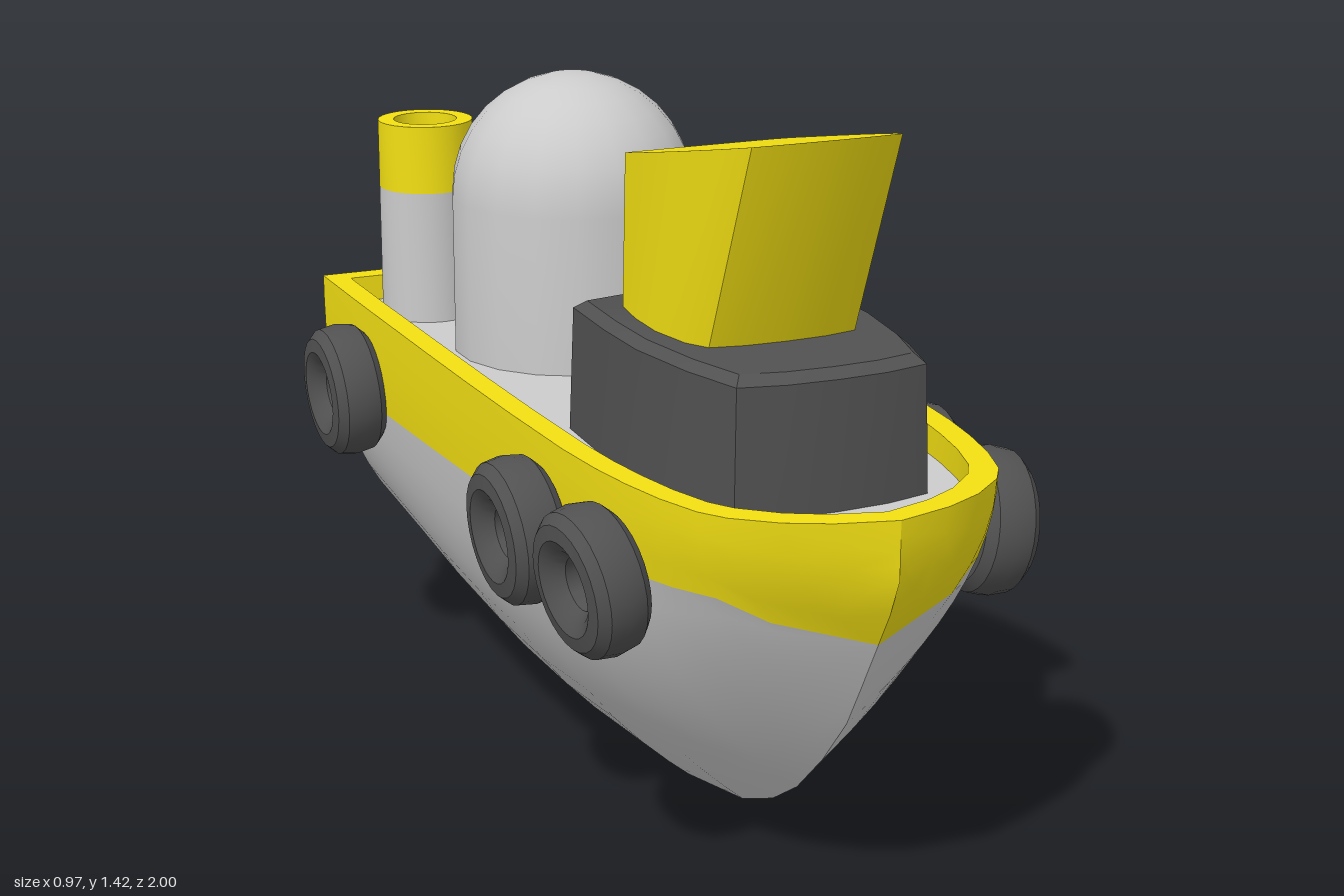
import * as THREE from 'three';
import { toCreasedNormals } from 'three/addons/utils/BufferGeometryUtils.js';

const grey = new THREE.MeshStandardMaterial({ color: 0xcccccc });
const yellow = new THREE.MeshStandardMaterial({ color: 0xf3e013 });
const dark = new THREE.MeshStandardMaterial({ color: 0x515151 });

const TOP = 0.83, DECK = 0.775;

// Hull stations from stern to bow: z, half width at the sheer, keel height
const stations = [
  [-1, 0.372, 0.22], [-0.97, 0.373, 0.2], [-0.75, 0.376, 0.135], [-0.53, 0.377, 0.07],
  [-0.3, 0.378, 0.024], [-0.08, 0.378, 0.008], [0.15, 0.376, 0.02], [0.4, 0.37, 0.07],
  [0.53, 0.36, 0.125], [0.63, 0.346, 0.19], [0.73, 0.325, 0.285], [0.82, 0.295, 0.39],
  [0.87, 0.262, 0.475], [0.93, 0.19, 0.58], [0.97, 0.11, 0.65], [1, 0, 0.72],
];

// Surface through a grid of points; corners run a, up the row, then along
function grid(rows) {
  const pos = [];
  for (let i = 0; i < rows.length - 1; i++) {
    for (let j = 0; j < rows[i].length - 1; j++) {
      const a = rows[i][j], b = rows[i][j + 1], c = rows[i + 1][j + 1], d = rows[i + 1][j];
      pos.push(...a, ...b, ...c, ...a, ...c, ...d);
    }
  }
  const g = new THREE.BufferGeometry();
  g.setAttribute('position', new THREE.Float32BufferAttribute(pos, 3));
  return toCreasedNormals(g, 0.6);
}

// Closed ring from a half outline [x, z] running from front centre to rear centre
function ring(half, height, sx = 1, sz = sx, zc = 0) {
  const full = [...half, ...half.slice(0, -1).reverse().map(([x, z]) => [-x, z])];
  return full.map(([x, z]) => {
    const zz = zc + (z - zc) * sz;
    return [x * sx, typeof height === 'function' ? height(zz) : height, zz];
  });
}

function add(parent, name, geometry, material) {
  const mesh = new THREE.Mesh(geometry, material);
  mesh.name = name;
  parent.add(mesh);
  return mesh;
}

// Height of the paint line, dipping to the stem
function paintLine(z, keel) {
  const y = z < 0.82 ? 0.602 + (z + 1) * 0.036 : 0.668 - (z - 0.82) * 0.8;
  return Math.max(y, keel);
}

// One side of a hull section, from the bottom up to the paint line or from there to the sheer
function section([z, w, keel], upper, side) {
  const line = paintLine(z, keel);
  const [y0, y1] = upper ? [line, TOP] : [keel, line];
  const n = z > 0 ? 2.9 - z : 2.9;
  const flat = Math.max(0, -z) ** 1.5 * 0.4;
  const pts = upper ? [] : [[0, keel, z]];
  const steps = upper ? 4 : 9;
  for (let j = 0; j <= steps; j++) {
    const y = y0 + (y1 - y0) * (j / steps) ** (upper ? 1 : 1.3);
    const u = (y - keel) / (TOP - keel);
    pts.push([side * w * (flat + (1 - flat) * (1 - (1 - u) ** n)), y, z]);
  }
  return pts;
}

function buildHull(parent) {
  for (const upper of [false, true]) {
    const mat = upper ? yellow : grey;
    const label = upper ? 'upperHull' : 'lowerHull';
    for (const side of [1, -1]) {
      const rows = stations.map((s) => section(s, upper, side));
      if (side < 0) rows.reverse();
      add(parent, label + (side > 0 ? 'Left' : 'Right'), grid(rows), mat);
    }
    // flat transom
    const ends = [-1, 1].map((side) => section(stations[0], upper, side));
    add(parent, label + 'Transom', grid(ends), mat);
  }
  // bulwark rim and sunken deck
  const outline = [...stations].reverse().map(([z, w]) => [w, z]);
  outline.push([0, -1]);
  const inner = (y) => ring(outline, y, 0.87, 0.95);
  add(parent, 'bulwark', grid([ring(outline, TOP), inner(TOP), inner(DECK)]), yellow);
  add(parent, 'deck', grid([inner(DECK), ring(outline, DECK, 0)]), grey);
}

function buildHouse(parent) {
  const base = [[0, 0.775], [0.1, 0.77], [0.19, 0.75], [0.225, 0.62], [0.25, 0.45],
    [0.25, 0.3], [0.24, 0.125], [0.15, 0.108], [0, 0.1]];
  const zc = 0.44;
  add(parent, 'deckhouse', grid([
    ring(base, DECK - 0.01, 1.01, 1, zc), ring(base, 1.015, 0.98, 0.98, zc),
    ring(base, 1.032, 0.9, 0.91, zc), ring(base, 1.032, 0, 0, zc),
  ]), dark);

  // raked wheelhouse, leaning forward with a sloping roof
  const plan = [[0, 0.735], [0.08, 0.73], [0.145, 0.71], [0.17, 0.64], [0.186, 0.5],
    [0.183, 0.36], [0.17, 0.23], [0.145, 0.205], [0.07, 0.198], [0, 0.196]];
  const roof = (z) => 1.32 + (z - 0.2) * 0.205;
  add(parent, 'wheelhouse', grid([
    ring(plan, 1.02, 1.01, 0.67, 0.2), ring(plan, roof), ring(plan, roof, 0, 0, 0.47),
  ]), yellow);
}

// Lathe from [radius, y] points with sharp edges kept
function lathe(points, segments) {
  const g = new THREE.LatheGeometry(points.map(([r, y]) => new THREE.Vector2(r, y)), segments);
  return toCreasedNormals(g, 0.6);
}

function buildTank(parent) {
  const r = 0.255, pts = [[r, DECK - 0.01]];
  for (let i = 0; i <= 8; i++) {
    const a = (i / 8) * Math.PI / 2;
    pts.push([r * Math.cos(a), 1.1 + r * Math.sin(a)]);
  }
  add(parent, 'domedTank', lathe(pts, 18), grey).position.z = -0.435;
}

function buildFunnel(parent) {
  const funnel = new THREE.Group();
  funnel.name = 'funnel';
  funnel.position.set(-0.19, 0, -0.81);
  add(funnel, 'funnelPipe', lathe([[0.102, DECK - 0.01], [0.102, 1.06]], 24), grey);
  add(funnel, 'funnelBore', lathe([[0.068, 1.06], [0.068, DECK]], 24), grey);
  add(funnel, 'funnelBand', lathe([[0.102, 1.06], [0.102, 1.205], [0.068, 1.205], [0.068, 1.06]], 24), yellow);
  parent.add(funnel);
}

// Tyre fenders hung along both sides
function buildFenders(parent) {
  const profile = [[0.05, -0.025], [0.068, -0.045], [0.09, -0.058], [0.118, -0.054], [0.136, -0.036],
    [0.142, 0], [0.136, 0.036], [0.118, 0.054], [0.09, 0.058], [0.068, 0.045], [0.05, 0.025], [0.05, -0.025]];
  const tyre = lathe(profile, 28);
  const places = [[0.605, 0.4, 0.1, 0.13], [0.3, 0.42, 0.02, 0.09], [-0.71, 0.423, 0, 0.06]];
  for (const side of [1, -1]) {
    places.forEach(([z, x, yaw, tilt], i) => {
      const mesh = add(parent, `tyreFender${side > 0 ? 'Left' : 'Right'}${i + 1}`, tyre, dark);
      mesh.position.set(side * x, 0.65, z);
      mesh.rotation.set(0, -side * yaw, -side * (Math.PI / 2 + tilt));
    });
  }
}

export function createModel() {
  const boat = new THREE.Group();
  boat.name = 'tugboat';
  buildHull(boat);
  buildHouse(boat);
  buildTank(boat);
  buildFunnel(boat);
  buildFenders(boat);
  return boat;
}
